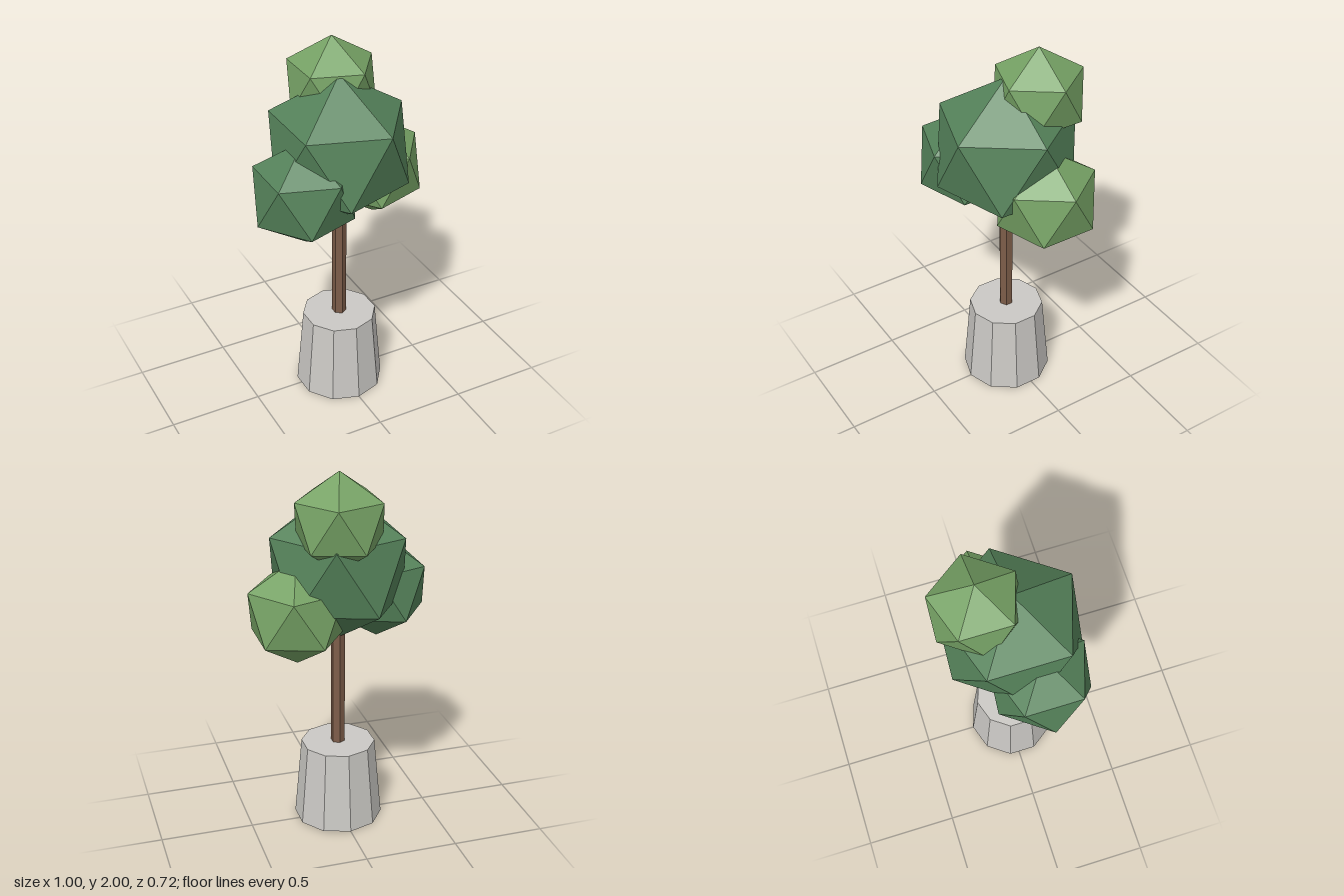
import * as THREE from 'three';

const paint = (name, color) => {
  const m = new THREE.MeshStandardMaterial({ color, flatShading: true });
  m.name = name;
  return m;
};

export function createModel() {
  const tree = new THREE.Group();
  tree.name = 'pottedTree';
  const darkLeaf = paint('dark leaf green', 0x55825a);
  const lightLeaf = paint('light leaf green', 0x76a265);
  const bark = paint('bark brown', 0x7d5d49);
  const stone = paint('concrete grey', 0xcbc9c5);

  const add = (name, geometry, material, x, y, z) => {
    const mesh = new THREE.Mesh(geometry, material);
    mesh.name = name;
    mesh.position.set(x, y, z);
    tree.add(mesh);
  };

  // Ten-sided tapered pot and six-sided trunk
  add('pot', new THREE.CylinderGeometry(0.2, 0.24, 0.445, 10), stone, 0, 0.2225, 0.02);
  add('trunk', new THREE.CylinderGeometry(0.038, 0.038, 0.86, 6), bark, 0, 0.87, 0.02);

  // Leaf clumps: icosahedra turned so one corner points straight up
  // and a corner of the upper ring points to +x
  const tilt = -Math.atan(2 / (1 + Math.sqrt(5)));
  const clump = (name, radius, material, x, y, z) =>
    add(name, new THREE.IcosahedronGeometry(radius, 0).rotateZ(tilt), material, x, y, z);

  clump('mainFoliage', 0.403, darkLeaf, 0, 1.46, 0.018);
  clump('rightFoliage', 0.29, darkLeaf, -0.24, 1.3, 0.098);
  clump('leftFoliage', 0.284, lightLeaf, 0.244, 1.26, -0.063);
  clump('topFoliage', 0.257, lightLeaf, 0.042, 1.743, -0.145);

  return tree;
}
